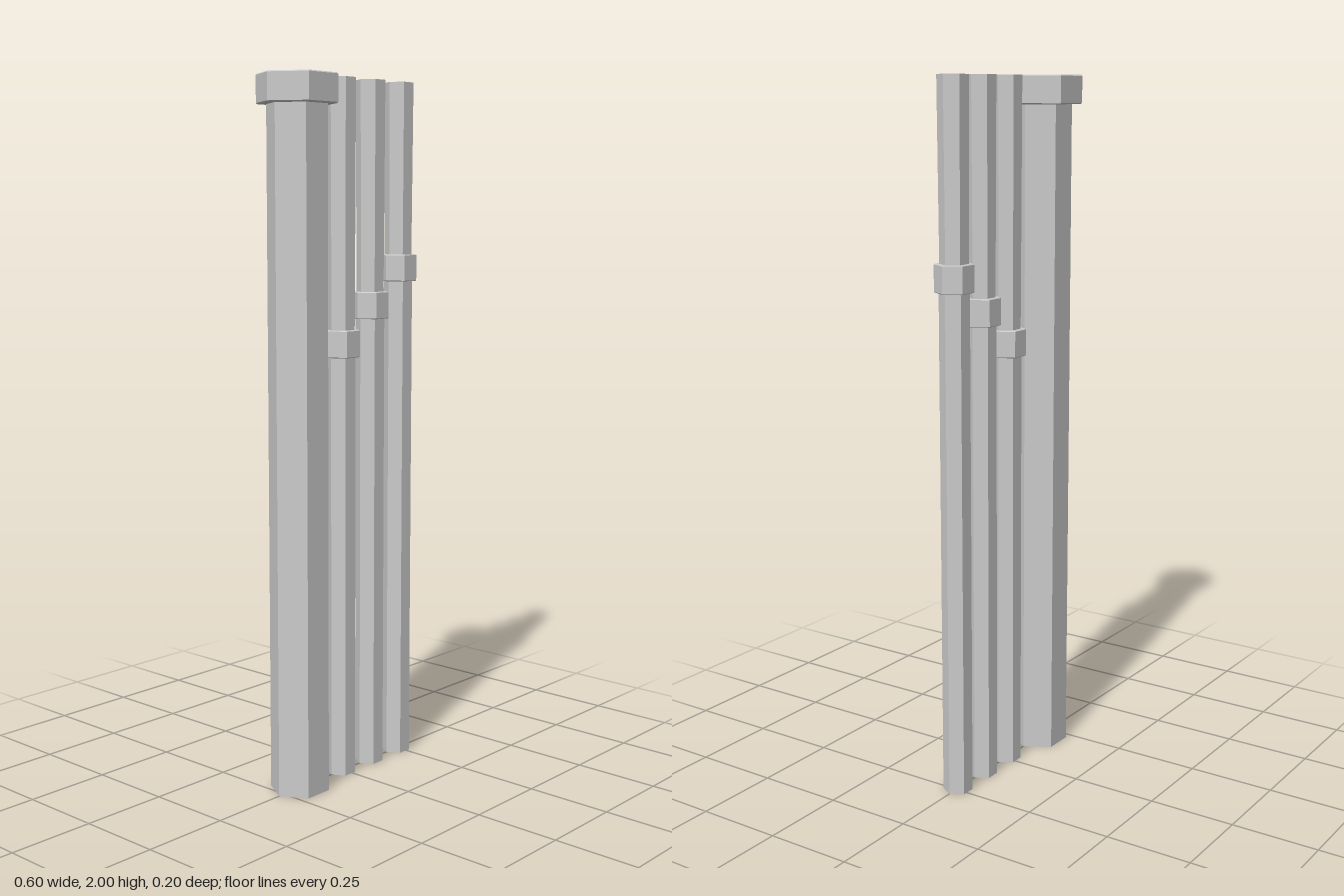
import * as THREE from 'three';

const material = new THREE.MeshStandardMaterial({
  color: 0xcccccc, flatShading: true, side: THREE.DoubleSide,
});

// Six-sided surface swept from [radius, height] pairs, corners on the x axis
function hexSweep(name, profile) {
  const points = profile.map(([r, y]) => new THREE.Vector2(r, y));
  const mesh = new THREE.Mesh(new THREE.LatheGeometry(points, 6, Math.PI / 2), material);
  mesh.name = name;
  return mesh;
}

// Hexagonal ring with slightly bevelled outer rims
function collar(inner, outer, y0, y1, bevel) {
  return hexSweep('collar', [
    [inner, y0], [outer - bevel, y0], [outer, y0 + bevel],
    [outer, y1 - bevel], [outer - bevel, y1], [inner, y1],
  ]);
}

export function createModel() {
  const model = new THREE.Group();
  model.name = 'hexTubeSet';

  // Wide open tube with a collar around its mouth
  const wide = new THREE.Group();
  wide.name = 'wideTube';
  wide.position.x = -0.185;
  wide.add(
    hexSweep('tubeWall', [[0.085, 0], [0.085, 2]]),
    collar(0.085, 0.1135, 1.92, 2, 0.003),
  );
  model.add(wide);

  // Three slim tubes, each collar a step higher, slightly waisted above it
  for (let i = 0; i < 3; i++) {
    const base = 1.227 + i * 0.103;
    const top = base + 0.077;
    const slim = new THREE.Group();
    slim.name = 'slimTube' + (i + 1);
    slim.position.x = -0.008 + i * 0.125;
    slim.add(
      hexSweep('lowerWall', [[0.042, 0], [0.042, base]]),
      hexSweep('upperWall', [[0.042, base], [0.0395, top], [0.0425, 2]]),
      collar(0.0395, 0.0545, base, top, 0.002),
    );
    model.add(slim);
  }
  return model;
}
